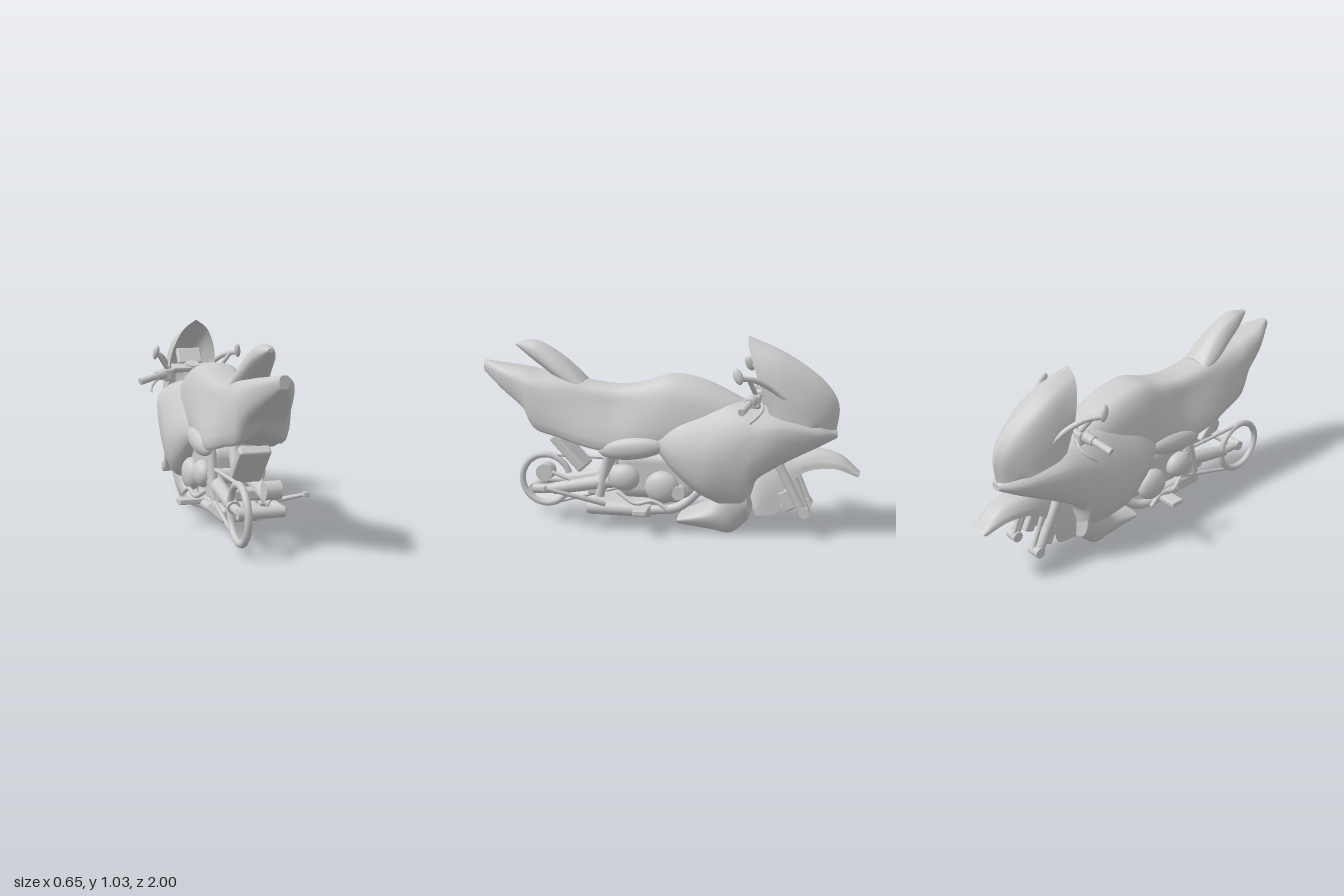
import * as THREE from 'three';
import { RoundedBoxGeometry } from 'three/addons/geometries/RoundedBoxGeometry.js';

const V = (x, y, z) => new THREE.Vector3(x, y, z);
const solid = new THREE.MeshStandardMaterial({ color: 0xcccccc });
const shell = new THREE.MeshStandardMaterial({ color: 0xcccccc, side: THREE.DoubleSide });

const smooth = (pts, n) => new THREE.CatmullRomCurve3(pts, false, 'centripetal').getPoints(n);

// Smooth mirrored skin through half cross-sections (top centre first, ordered by rising z)
function skin(sections, closed, nu = 40, nv = 18) {
  const fine = sections.map(s => smooth(s, nv));
  const columns = fine[0].map((_, j) => smooth(fine.map(r => r[j]), nu));
  let rows = columns[0].map((_, i) => {
    const half = columns.map(c => c[i]);
    const other = half.slice(1).reverse().map(p => V(-p.x, p.y, p.z));
    return [...other, ...half];
  });
  if (closed) {
    const cap = r => {
      const c = r.reduce((s, p) => s.add(p), V(0, 0, 0)).divideScalar(r.length);
      return r.map(() => c);
    };
    const a = rows[0], b = rows[rows.length - 1];
    rows = [cap(a), a, ...rows, b, cap(b)];
  }
  const w = rows[0].length, index = [];
  for (let i = 0; i < rows.length - 1; i++)
    for (let j = 0; j < w - 1; j++) {
      const a = i * w + j, b = a + w;
      index.push(a, b, a + 1, b, b + 1, a + 1);
    }
  const g = new THREE.BufferGeometry().setFromPoints(rows.flat());
  g.setIndex(index);
  g.computeVertexNormals();
  return g;
}

// Flat section: z followed by x, y pairs
const flat = rows => rows.map(([z, ...n]) =>
  Array.from({ length: n.length / 2 }, (_, i) => V(n[2 * i], n[2 * i + 1], z)));
// Free section: x, y, z triples
const free = rows => rows.map(n =>
  Array.from({ length: n.length / 3 }, (_, i) => V(n[3 * i], n[3 * i + 1], n[3 * i + 2])));

export function createModel() {
  const model = new THREE.Group();
  model.name = 'motorcycle';
  const add = (name, geo, pos = [0, 0, 0], rot = [0, 0, 0], mat = solid) => {
    const m = new THREE.Mesh(geo, mat);
    m.name = name;
    m.position.set(...pos);
    m.rotation.set(...rot);
    model.add(m);
    return m;
  };
  const rod = (name, a, b, r1, r2 = r1) => {
    const p = V(...a), q = V(...b), d = q.clone().sub(p);
    const m = add(name, new THREE.CylinderGeometry(r2, r1, d.length(), 16), p.clone().add(q).divideScalar(2).toArray());
    m.quaternion.setFromUnitVectors(V(0, 1, 0), d.normalize());
    return m;
  };
  const tube = (name, pts, r) => add(name, new THREE.TubeGeometry(
    new THREE.CatmullRomCurve3(pts.map(p => V(...p))), 32, r, 10));
  const box = (name, size, pos, rot) => add(name, new RoundedBoxGeometry(...size, 3, Math.min(...size) * 0.25), pos, rot);
  const ball = (name, size, pos, rot) => add(name, new THREE.SphereGeometry(1, 24, 16), pos, rot).scale.set(...size);

  // Main fairing
  add('fairing', skin(flat([
    [-0.88, 0, 0.56, 0.02, 0.555, 0.03, 0.54, 0.02, 0.525, 0, 0.52],
    [-0.8, 0, 0.6, 0.07, 0.59, 0.1, 0.55, 0.07, 0.49, 0, 0.48],
    [-0.6, 0, 0.67, 0.11, 0.65, 0.18, 0.58, 0.14, 0.4, 0, 0.38],
    [-0.47, 0, 0.69, 0.12, 0.67, 0.2, 0.55, 0.17, 0.32, 0, 0.27],
    [-0.42, 0, 0.7, 0.12, 0.68, 0.21, 0.52, 0.15, 0.2, 0, 0.09],
    [-0.34, 0, 0.7, 0.12, 0.68, 0.22, 0.48, 0.16, 0.2, 0, 0.1],
    [-0.22, 0, 0.7, 0.12, 0.66, 0.225, 0.44, 0.18, 0.23, 0, 0.2],
    [-0.08, 0, 0.66, 0.12, 0.62, 0.205, 0.45, 0.17, 0.33, 0, 0.3],
    [0.02, 0, 0.62, 0.1, 0.58, 0.16, 0.48, 0.14, 0.43, 0, 0.42],
  ]), true), undefined, undefined, shell);

  // Belly pan
  add('bellyPan', skin(flat([
    [-0.44, 0, 0.28, 0.12, 0.27, 0.14, 0.18, 0.09, 0.09, 0, 0.08],
    [-0.35, 0, 0.26, 0.13, 0.24, 0.14, 0.12, 0.09, 0.015, 0, 0.005],
    [-0.25, 0, 0.16, 0.1, 0.15, 0.13, 0.1, 0.09, 0.025, 0, 0.015],
    [-0.07, 0, 0.08, 0.07, 0.08, 0.11, 0.065, 0.09, 0.045, 0, 0.04],
  ]), true), undefined, undefined, shell);

  // Tank, seat and tail in one flowing body
  add('tankSeatTail', skin(flat([
    [-0.42, 0, 0.69, 0.06, 0.68, 0.09, 0.64, 0.08, 0.56, 0, 0.54],
    [-0.34, 0, 0.735, 0.08, 0.715, 0.12, 0.65, 0.12, 0.5, 0, 0.46],
    [-0.18, 0, 0.805, 0.09, 0.78, 0.14, 0.68, 0.13, 0.45, 0, 0.42],
    [-0.02, 0, 0.825, 0.09, 0.805, 0.145, 0.68, 0.14, 0.45, 0, 0.42],
    [0.12, 0, 0.78, 0.085, 0.765, 0.13, 0.66, 0.15, 0.45, 0, 0.44],
    [0.25, 0, 0.76, 0.08, 0.745, 0.115, 0.65, 0.16, 0.43, 0, 0.46],
    [0.4, 0, 0.775, 0.085, 0.755, 0.12, 0.67, 0.165, 0.45, 0, 0.5],
    [0.55, 0, 0.81, 0.09, 0.785, 0.13, 0.7, 0.145, 0.49, 0, 0.54],
    [0.7, 0, 0.82, 0.085, 0.81, 0.13, 0.74, 0.115, 0.53, 0, 0.58],
    [0.76, 0, 0.83, 0.08, 0.825, 0.12, 0.76, 0.1, 0.63, 0, 0.65],
    [0.88, 0, 0.85, 0.06, 0.845, 0.09, 0.81, 0.07, 0.72, 0, 0.73],
    [1.0, 0, 0.868, 0.015, 0.866, 0.025, 0.84, 0.015, 0.81, 0, 0.805],
  ]), true, 60), undefined, undefined, shell);

  // Raised cowl behind the seat
  add('seatCowl', skin(flat([
    [0.44, 0, 0.79, 0.07, 0.77, 0.09, 0.74, 0.06, 0.72, 0, 0.72],
    [0.5, 0, 0.85, 0.06, 0.83, 0.09, 0.77, 0.06, 0.74, 0, 0.74],
    [0.57, 0, 0.91, 0.05, 0.89, 0.085, 0.82, 0.06, 0.78, 0, 0.77],
    [0.65, 0, 0.96, 0.045, 0.94, 0.07, 0.87, 0.045, 0.835, 0, 0.825],
    [0.73, 0, 0.985, 0.04, 0.965, 0.055, 0.92, 0.035, 0.89, 0, 0.88],
    [0.82, 0, 0.968, 0.01, 0.966, 0.015, 0.96, 0.01, 0.952, 0, 0.95],
  ]), true), undefined, undefined, shell);

  // Windscreen and nose shell
  add('windscreen', skin(free([
    [0, 0.55, -0.875, 0.03, 0.55, -0.86, 0.06, 0.56, -0.83, 0.08, 0.57, -0.79],
    [0, 0.69, -0.885, 0.05, 0.685, -0.85, 0.085, 0.65, -0.8, 0.11, 0.59, -0.75],
    [0, 0.8, -0.82, 0.07, 0.78, -0.78, 0.11, 0.71, -0.73, 0.13, 0.61, -0.68],
    [0, 0.95, -0.61, 0.08, 0.91, -0.61, 0.125, 0.78, -0.61, 0.14, 0.63, -0.6],
    [0, 1.03, -0.42, 0.065, 0.98, -0.43, 0.125, 0.84, -0.48, 0.13, 0.64, -0.55],
  ]), false), undefined, undefined, shell);

  // Front mudguard
  add('frontMudguard', skin(free([
    [0, 0.345, -1, 0.03, 0.345, -1, 0.045, 0.34, -1, 0.05, 0.33, -0.99],
    [0, 0.43, -0.9, 0.04, 0.425, -0.9, 0.07, 0.4, -0.89, 0.08, 0.375, -0.87],
    [0, 0.465, -0.77, 0.06, 0.45, -0.76, 0.09, 0.4, -0.74, 0.095, 0.35, -0.72],
    [0, 0.45, -0.62, 0.06, 0.43, -0.62, 0.09, 0.35, -0.61, 0.095, 0.26, -0.63],
    [0, 0.38, -0.51, 0.06, 0.36, -0.51, 0.09, 0.25, -0.52, 0.09, 0.13, -0.59],
    [0, 0.2, -0.45, 0.06, 0.2, -0.45, 0.085, 0.15, -0.47, 0.09, 0.11, -0.48],
  ]), false), undefined, undefined, shell);

  // Parts paired left and right
  for (const s of [-1, 1]) {
    ball('hipPanel', [0.045, 0.06, 0.18], [s * 0.145, 0.45, 0.16], [0.12, 0, 0]);
    // Front fork and brake
    rod('forkLeg', [s * 0.1, 0.42, -0.58], [s * 0.1, 0.13, -0.73], 0.024);
    rod('forkStay', [s * 0.08, 0.36, -0.66], [s * 0.08, 0.14, -0.75], 0.012);
    box('brakeCaliper', [0.045, 0.11, 0.06], [s * 0.075, 0.2, -0.64], [0.45, 0, 0]);
    rod('axleClamp', [s * 0.06, 0.145, -0.73], [s * 0.125, 0.145, -0.73], 0.028);
    // Handlebars, grips and levers
    rod('handlebar', [s * 0.06, 0.755, -0.5], [s * 0.2, 0.725, -0.46], 0.016);
    rod('gripCollar', [s * 0.17, 0.73, -0.465], [s * 0.22, 0.718, -0.455], 0.032, 0.026);
    rod('grip', [s * 0.21, 0.72, -0.455], [s * 0.32, 0.692, -0.43], 0.019);
    tube('lever', [[s * 0.14, 0.72, -0.5], [s * 0.2, 0.69, -0.52], [s * 0.235, 0.66, -0.5], [s * 0.253, 0.625, -0.46]], 0.008);
    box('leverClamp', [0.05, 0.07, 0.05], [s * 0.15, 0.72, -0.48]);
    // Mirror stalks
    tube('mirrorStalk', [[s * 0.11, 0.71, -0.65], [s * 0.14, 0.78, -0.56], [s * 0.19, 0.83, -0.48], [s * 0.235, 0.845, -0.42]], 0.014);
    rod('mirrorBrace', [s * 0.15, 0.75, -0.48], [s * 0.21, 0.84, -0.45], 0.012);
    ball('mirror', [0.016, 0.042, 0.024], [s * 0.235, 0.855, -0.4], [0.4, 0, s * 0.15]);
    // Engine covers and foot controls
    ball('engineCover', [0.05, 0.085, 0.09], [s * 0.145, 0.25, 0], [0, 0, 0]);
    ball('gearboxCover', [0.05, 0.07, 0.08], [s * 0.14, 0.29, 0.2]);
    box('footPeg', [0.13, 0.03, 0.075], [s * 0.18, 0.13, 0.1]);
    tube('exhaustPipe', [[s * 0.07, 0.24, -0.2], [s * 0.11, 0.14, -0.08], [s * 0.12, 0.12, 0.05], [s * 0.1, 0.11, 0.22]], 0.025);
    tube('pedal', [[s * 0.13, 0.21, 0.24], [s * 0.16, 0.16, 0.14], [s * 0.17, 0.18, 0.04], [s * 0.18, 0.14, -0.04]], 0.011);
    rod('frameStrut', [s * 0.12, 0.46, 0.28], [s * 0.12, 0.18, 0.34], 0.024);
    // Swingarm legs
    rod('swingarm', [s * 0.1, 0.27, 0.24], [s * 0.1, 0.2, 0.6], 0.042, 0.032);
  }

  // Engine and exhaust
  box('engineBlock', [0.25, 0.26, 0.42], [0, 0.3, 0.04]);
  box('cylinderBank', [0.22, 0.25, 0.2], [0, 0.4, 0.1], [0.3, 0, 0]);
  rod('oilFilter', [0.08, 0.23, -0.09], [0.18, 0.23, -0.09], 0.035);
  box('exhaustBox', [0.22, 0.075, 0.33], [0.01, 0.11, 0.24]);
  rod('muffler', [0.105, 0.11, 0.07], [0.105, 0.11, 0.41], 0.034);
  box('swingarmBridge', [0.24, 0.06, 0.08], [0, 0.21, 0.37]);
  rod('swingarmPivot', [-0.14, 0.28, 0.25], [0.14, 0.28, 0.25], 0.04);
  rod('shockAbsorber', [0, 0.48, 0.25], [0, 0.22, 0.38], 0.03);

  // Rear hub, ring and chain on the right-hand chain line
  const cx = -0.11, hub = [0.195, 0.71];
  add('rearRing', new THREE.TorusGeometry(0.138, 0.018, 10, 48), [cx, ...hub], [0, Math.PI / 2, 0]);
  rod('rearAxle', [-0.12, ...hub], [0.11, ...hub], 0.028);
  rod('axleLink', [0.1, ...hub], [0.1, 0.2, 0.58], 0.026);
  rod('axleLink', [-0.1, ...hub], [-0.1, 0.2, 0.58], 0.022);
  add('frontSprocket', new THREE.CylinderGeometry(0.075, 0.075, 0.02, 24), [cx - 0.015, 0.255, 0.26], [0, 0, Math.PI / 2]);
  rod('chainTop', [cx, 0.335, 0.73], [cx, 0.33, 0.27], 0.01);
  rod('chainBottom', [cx, 0.055, 0.69], [cx, 0.18, 0.25], 0.01);
  rod('torqueRod', [0.1, 0.3, 0.64], [0.1, 0.19, 0.32], 0.01);
  rod('rearCaliper', [0.03, 0.285, 0.65], [0.11, 0.285, 0.65], 0.046);

  // Rear mudguard under the tail
  box('rearMudguard', [0.16, 0.24, 0.05], [0, 0.39, 0.53], [0.75, 0, 0]);

  // Side stand
  rod('sideStand', [0.13, 0.14, 0.31], [0.262, 0.24, 0.59], 0.015, 0.009);
  box('standFoot', [0.03, 0.026, 0.02], [0.264, 0.242, 0.6]);

  // Headstock and dash between the bars
  rod('headstock', [0, 0.78, -0.5], [0, 0.55, -0.58], 0.04);
  box('topYoke', [0.24, 0.03, 0.07], [0, 0.755, -0.5], [0.3, 0, 0]);
  box('dash', [0.14, 0.1, 0.04], [0, 0.81, -0.58], [-0.6, 0, 0]);
  return model;
}
